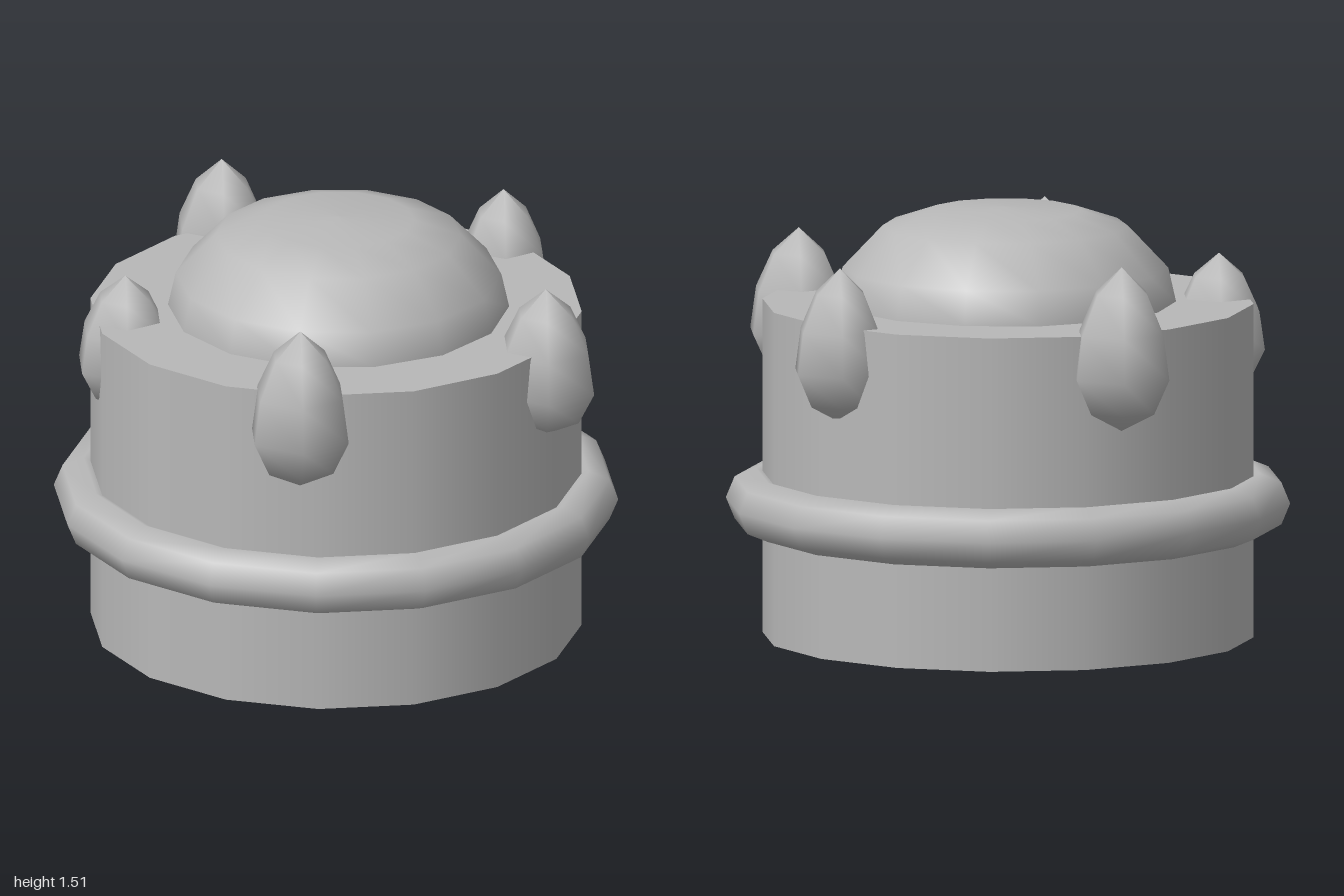
import * as THREE from 'three';

const stone = new THREE.MeshStandardMaterial({ color: 0xb8b8b8 });
stone.name = 'plain grey';

// Turned solid from [radius, height] pairs listed bottom to top, with a corner on the x axis
function turned(profile, sides) {
  const points = profile.map(([r, y]) => new THREE.Vector2(r, y));
  return new THREE.LatheGeometry(points, sides, Math.PI / 2);
}

export function createModel() {
  const group = new THREE.Group();
  const centreX = -0.01;

  function add(name, geometry, x, y, z) {
    const mesh = new THREE.Mesh(geometry, stone);
    mesh.name = name;
    mesh.position.set(x, y, z);
    group.add(mesh);
    return mesh;
  }

  // Drum-shaped body
  add('body', new THREE.CylinderGeometry(0.862, 0.862, 1.18, 16), centreX, 0.59, 0);

  // Rounded band around the body
  const band = new THREE.TorusGeometry(0.885, 0.105, 8, 16).rotateX(Math.PI / 2);
  add('band', band, centreX, 0.475, 0);

  // Flattened dome on top
  const dome = [[0.595, 1.1], [0.597, 1.18], [0.57, 1.3], [0.43, 1.447], [0.265, 1.503], [0, 1.515]];
  add('dome', turned(dome, 14), 0, 0, 0);

  // Six-sided teardrop spikes set into the rim: x, z, radius, height
  const spike = turned([[0, 0], [0.68, 0.115], [1, 0.33], [0.88, 0.6], [0.54, 0.84], [0, 1]], 6);
  const spikes = [
    [0.81, 0, 0.19, 0.545],
    [0.26, 0.82, 0.19, 0.58],
    [-0.62, 0.43, 0.18, 0.495],
    [-0.715, -0.515, 0.187, 0.58],
    [0.255, -0.78, 0.175, 0.545],
  ];
  spikes.forEach(([x, z, radius, height], i) => {
    add('spike' + (i + 1), spike, x, 0.84, z).scale.set(radius, height, radius);
  });

  return group;
}
